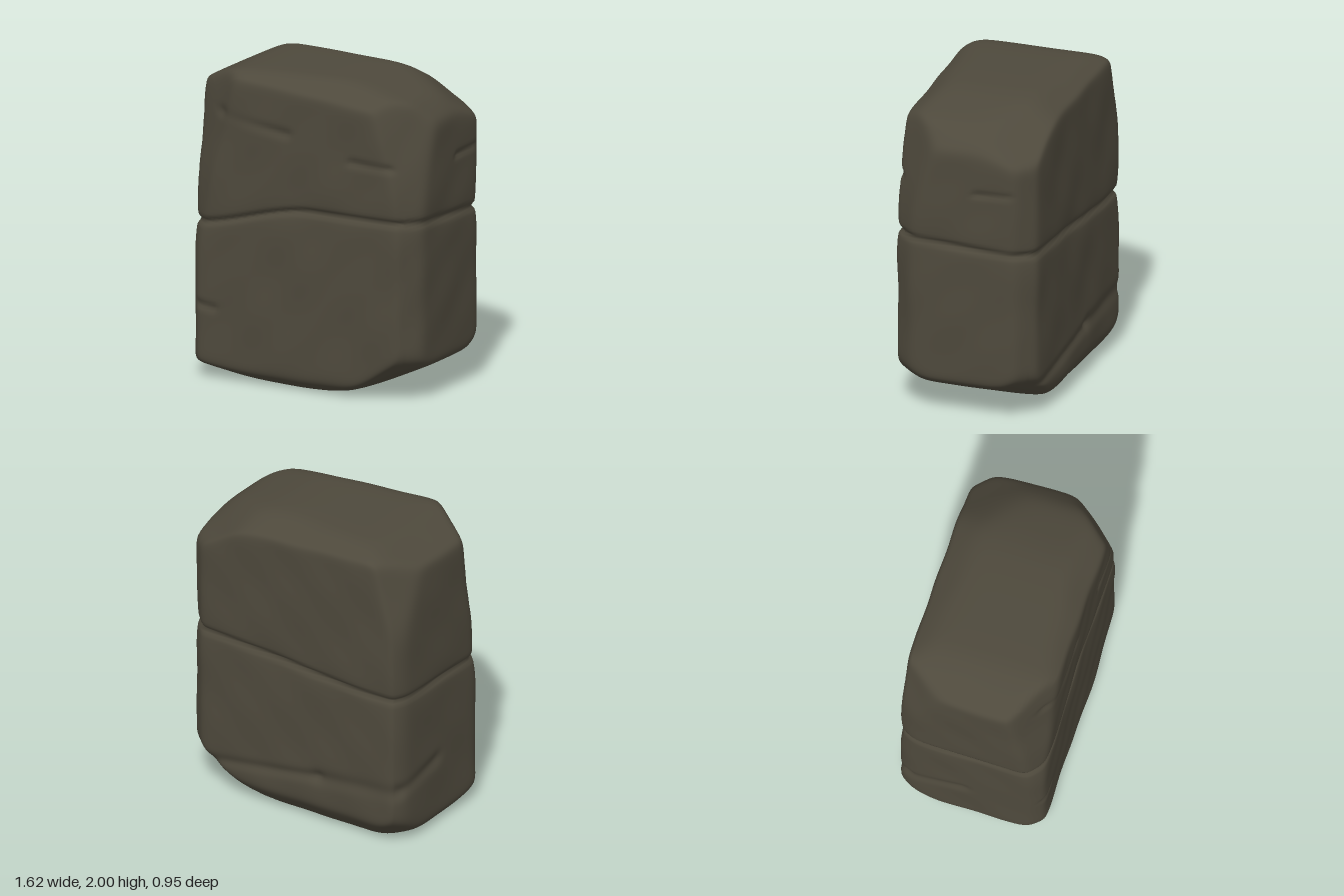
import * as THREE from 'three';
import { mergeVertices } from 'three/addons/utils/BufferGeometryUtils.js';

const SHARPNESS = 56;

// A cutting plane: compass angle from the front towards +x, tilt upwards, distance from the middle
function plane([angle, tilt, distance]) {
  const a = THREE.MathUtils.degToRad(angle), t = THREE.MathUtils.degToRad(tilt);
  const normal = new THREE.Vector3(Math.sin(a) * Math.cos(t), Math.sin(t), Math.cos(a) * Math.cos(t));
  return normal.divideScalar(distance);
}

const PLANES = [
  // main faces
  [90, 0, 0.803], [-90, 0, 0.806], [0, 0, 0.47], [180, 0, 0.473], [0, 90, 1.002], [0, -90, 1.002],
  // upright corner chamfers
  [49, 0, 0.825], [-49, 0, 0.86], [137, 0, 0.81], [-122, 0, 0.89],
  // shoulders of the top
  [90, 76, 1.04], [90, 44, 1.11], [-90, 65, 1.13], [8, 55, 1.01], [174, 60, 1.02], [129, 52, 1.065],
  // leaning corners of the upper half
  [-34, 8, 0.77], [-122, 14, 0.977], [48, 12, 0.86],
  // undercut of the base
  [90, -65, 1.043], [90, -76, 1.023], [-90, -53, 1.245], [0, -41, 0.96], [180, -37, 0.9],
  [45, -45, 1.085], [135, -45, 1.085], [-135, -45, 1.2], [-30, -70, 1.11],
].map(plane);

// Short cracks: start, end, width
const CRACKS = [
  [-0.82, 0.49, 0.47, -0.62, 0.455, 0.47, 0.025],
  [0.36, 1.52, 0.47, 0.72, 1.5, 0.45, 0.025],
  [0.8, 1.5, -0.1, 0.8, 1.51, -0.32, 0.02],
  [-0.8, 1.75, 0.4, -0.1, 1.64, 0.47, 0.03],
  [0.6, 0.22, -0.46, -0.2, 0.33, -0.47, 0.035],
  [-0.2, 0.33, -0.47, -0.78, 0.38, -0.44, 0.05],
  [-0.8, 0.38, -0.42, -0.8, 0.46, -0.05, 0.045],
].map(([a, b, c, d, e, f, width]) => ({
  line: new THREE.Line3(new THREE.Vector3(a, b, c), new THREE.Vector3(d, e, f)), width,
}));

// Height of the seam that runs all round the boulder
function seamHeight(x, z) {
  const front = 0.99 + 0.17 * THREE.MathUtils.smoothstep(x, -0.85, 0.08);
  const back = 1.02 + 0.09 * THREE.MathUtils.smoothstep(x, -0.8, 0.8);
  return THREE.MathUtils.lerp(back, front, THREE.MathUtils.clamp(z / 0.94 + 0.5, 0, 1));
}

// How far the surface is worn inwards at a point
function wear(p) {
  const d = Math.abs(p.y - seamHeight(p.x, p.z));
  let cut = 0.022 * Math.exp(-((d / 0.018) ** 2)) + 0.014 * Math.exp(-d / 0.05);
  const near = new THREE.Vector3();
  for (const { line, width } of CRACKS) {
    line.closestPointToPoint(p, true, near);
    cut += 0.017 * Math.exp(-((near.distanceTo(p) / width) ** 2));
  }
  // gentle unevenness
  cut += 0.004 * Math.sin(p.x * 7 + p.y * 4) * Math.sin(p.y * 6 - p.z * 7 + 1);
  cut += 0.003 * Math.sin(p.x * 15 - p.y * 5 + 2) * Math.sin(p.z * 13 + p.y * 11);
  return cut;
}

function boulderGeometry() {
  const box = new THREE.BoxGeometry(1.6, 2, 0.94, 54, 110, 32);
  box.deleteAttribute('uv');
  box.deleteAttribute('normal');
  const geo = mergeVertices(box);
  const pos = geo.attributes.position;
  const v = new THREE.Vector3(), inward = new THREE.Vector3();

  for (let i = 0; i < pos.count; i++) {
    // soft intersection of all planes
    v.fromBufferAttribute(pos, i);
    let sum = 0;
    for (const normal of PLANES) sum += Math.max(0, normal.dot(v)) ** SHARPNESS;
    v.multiplyScalar(sum ** (-1 / SHARPNESS));
    v.y += 1;

    // wear the sides inwards, fading out across the top and bottom
    inward.set(-v.x * 0.6, 0, -v.z * 1.7).normalize();
    const side = Math.max(Math.abs(v.x) / 0.8, Math.abs(v.z) / 0.47);
    v.addScaledVector(inward, wear(v) * Math.min(1, side));
    pos.setXYZ(i, v.x, v.y, v.z);
  }
  geo.computeVertexNormals();
  return geo;
}

export function createModel() {
  const group = new THREE.Group();
  group.name = 'rock';
  const stone = new THREE.MeshStandardMaterial({ color: 0x4e493c });
  stone.name = 'dark stone';
  const boulder = new THREE.Mesh(boulderGeometry(), stone);
  boulder.name = 'boulder';
  group.add(boulder);
  return group;
}
